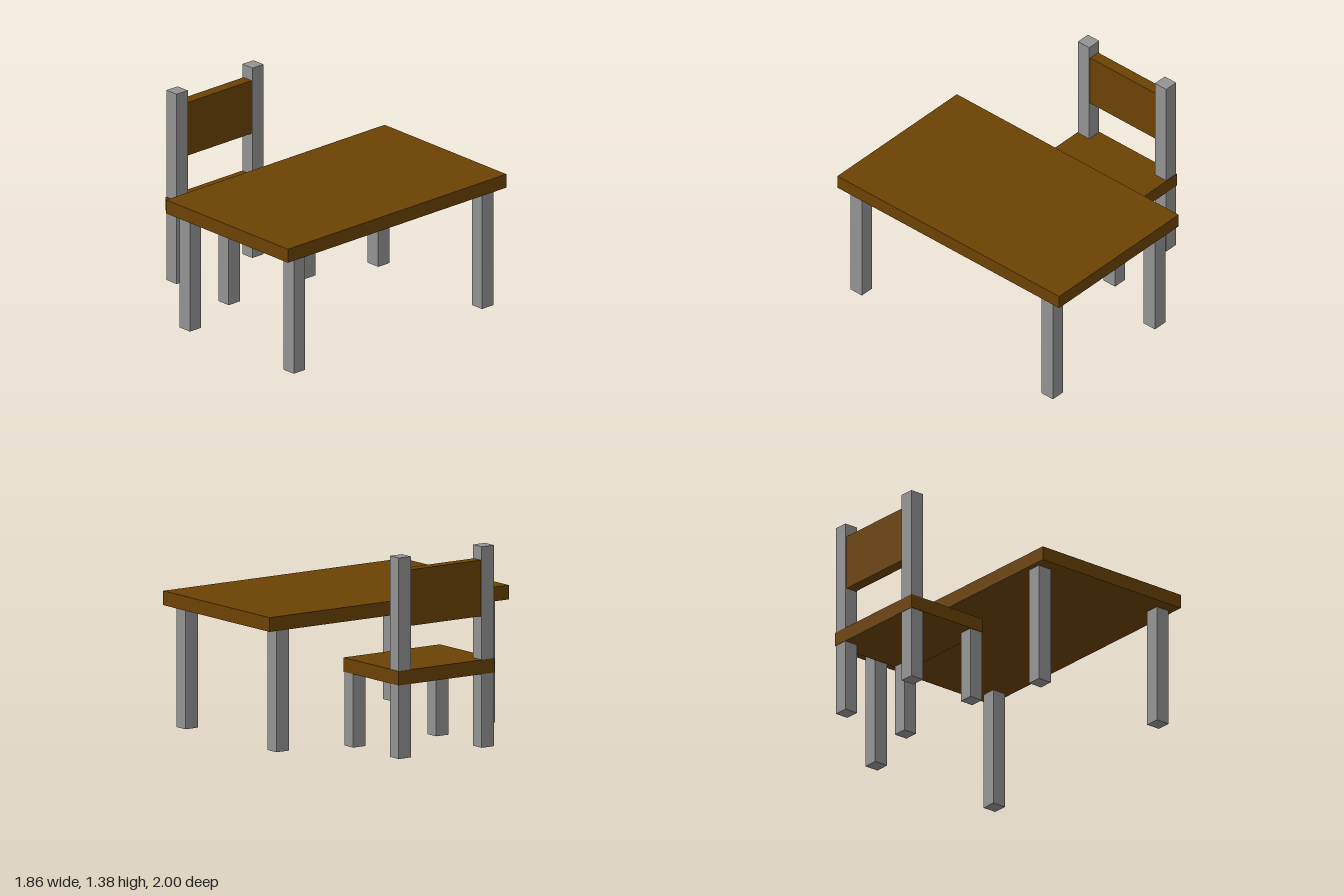
import * as THREE from 'three';

export function createModel() {
  const model = new THREE.Group();
  const grey = new THREE.MeshStandardMaterial({ color: 0x939393 });
  const wood = new THREE.MeshStandardMaterial({ color: 0x6b4203 });

  // Box given by its lower and upper limits on each axis
  function box(parent, name, material, [x0, x1], [y0, y1], [z0, z1]) {
    const mesh = new THREE.Mesh(new THREE.BoxGeometry(x1 - x0, y1 - y0, z1 - z0), material);
    mesh.position.set((x0 + x1) / 2, (y0 + y1) / 2, (z0 + z1) / 2);
    mesh.name = name;
    parent.add(mesh);
  }

  // Square posts mirrored across z
  function postPair(parent, name, x, y, z0, z1) {
    box(parent, name + 'Front', grey, x, y, [z0, z1]);
    box(parent, name + 'Back', grey, x, y, [-z1, -z0]);
  }

  // Table
  const table = new THREE.Group();
  table.name = 'table';
  box(table, 'tableTop', wood, [-0.28, 0.93], [0.84, 0.938], [-1, 1]);
  postPair(table, 'tableLegRight', [-0.243, -0.138], [0, 0.84], 0.81, 0.913);
  postPair(table, 'tableLegLeft', [0.793, 0.895], [0, 0.84], 0.81, 0.913);

  // Chair, facing the table
  const chair = new THREE.Group();
  chair.name = 'chair';
  box(chair, 'seat', wood, [-0.933, -0.31], [0.505, 0.603], [-0.403, 0.403]);
  postPair(chair, 'chairLeg', [-0.413, -0.312], [0, 0.505], 0.296, 0.398);
  postPair(chair, 'chairBackPost', [-0.931, -0.83], [0, 1.378], 0.296, 0.398);
  box(chair, 'backrest', wood, [-0.92, -0.84], [0.9, 1.285], [-0.298, 0.298]);

  model.add(table, chair);
  return model;
}
